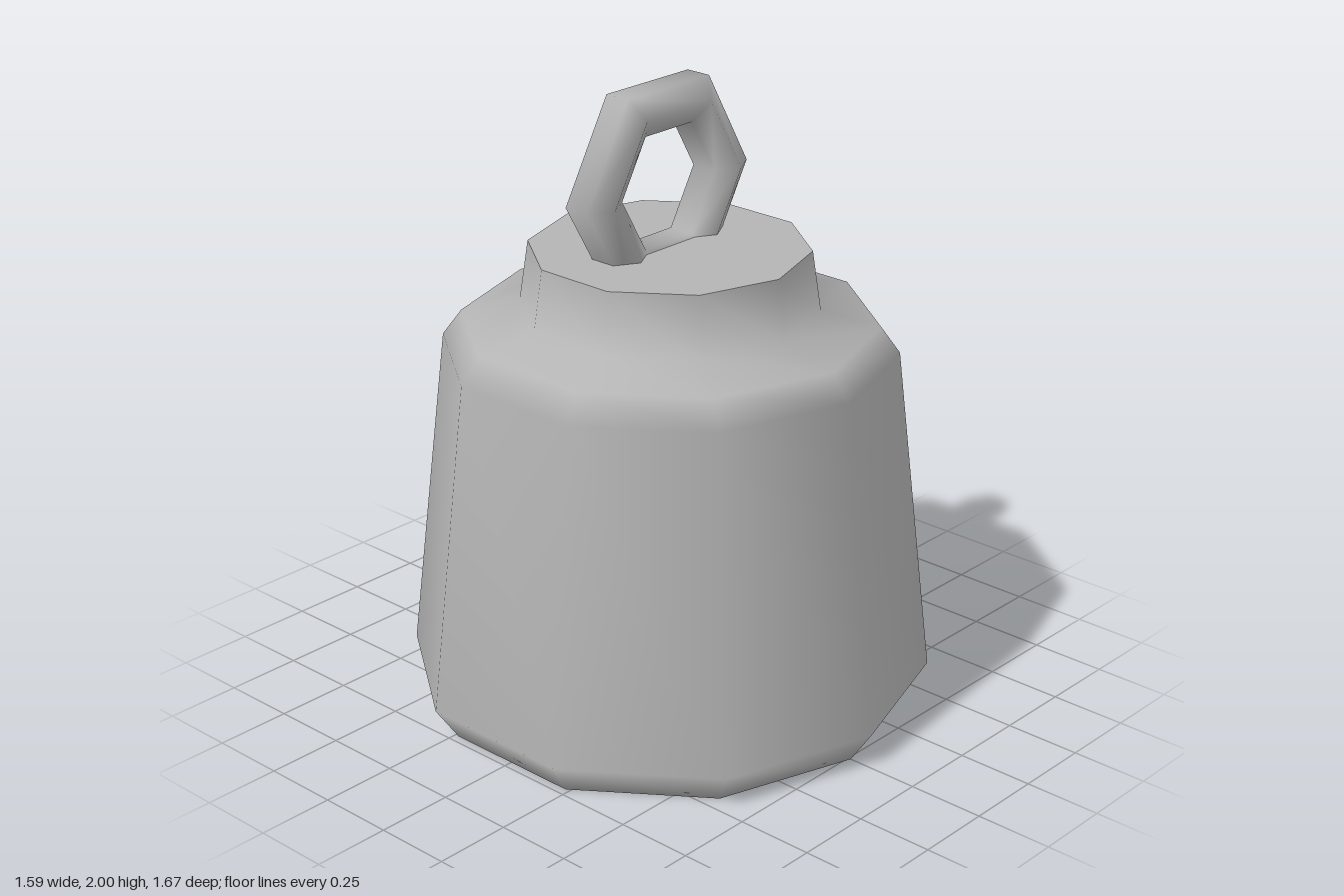
import * as THREE from 'three';
import { mergeVertices } from 'three/addons/utils/BufferGeometryUtils.js';

// Revolve a profile, then weld it so it shades smoothly all round
function smoothLathe(profile, sides) {
  const g = new THREE.LatheGeometry(profile.map(([r, y]) => new THREE.Vector2(r, y)), sides);
  g.deleteAttribute('normal');
  g.deleteAttribute('uv');
  const welded = mergeVertices(g, 1e-4);
  welded.computeVertexNormals();
  return welded;
}

export function createModel() {
  const group = new THREE.Group();
  const iron = new THREE.MeshStandardMaterial({ color: 0xb4b4b4 });
  iron.name = 'grey iron';

  const add = (name, geometry) => {
    const mesh = new THREE.Mesh(geometry, iron);
    mesh.name = name;
    group.add(mesh);
    return mesh;
  };

  // Ten-sided tapered body with bevelled foot, shoulder and neck
  add('body', smoothLathe([
    [0, 0], [0.76, 0], [0.835, 0.11], [0.712, 1.18],
    [0.652, 1.262], [0.466, 1.31], [0.438, 1.5],
  ], 10));

  // Flat top of the neck
  const top = new THREE.CircleGeometry(0.438, 10, Math.PI / 2);
  top.rotateX(-Math.PI / 2);
  add('neckTop', top).position.y = 1.5;

  // Hexagonal ring handle with a six-sided section, sunk into the neck
  const section = [];
  for (let i = 0; i <= 6; i++) {
    const a = -Math.PI / 6 + (i % 6) * Math.PI / 3;
    section.push([0.282 + 0.087 * Math.cos(a), 0.087 * Math.sin(a)]);
  }
  // Section corners point along the ring axis
  const ring = smoothLathe(section, 6);
  ring.rotateY(Math.PI / 2);
  ring.rotateX(Math.PI / 2);
  add('ringHandle', ring).position.set(0, 1.69, -0.045);

  return group;
}
